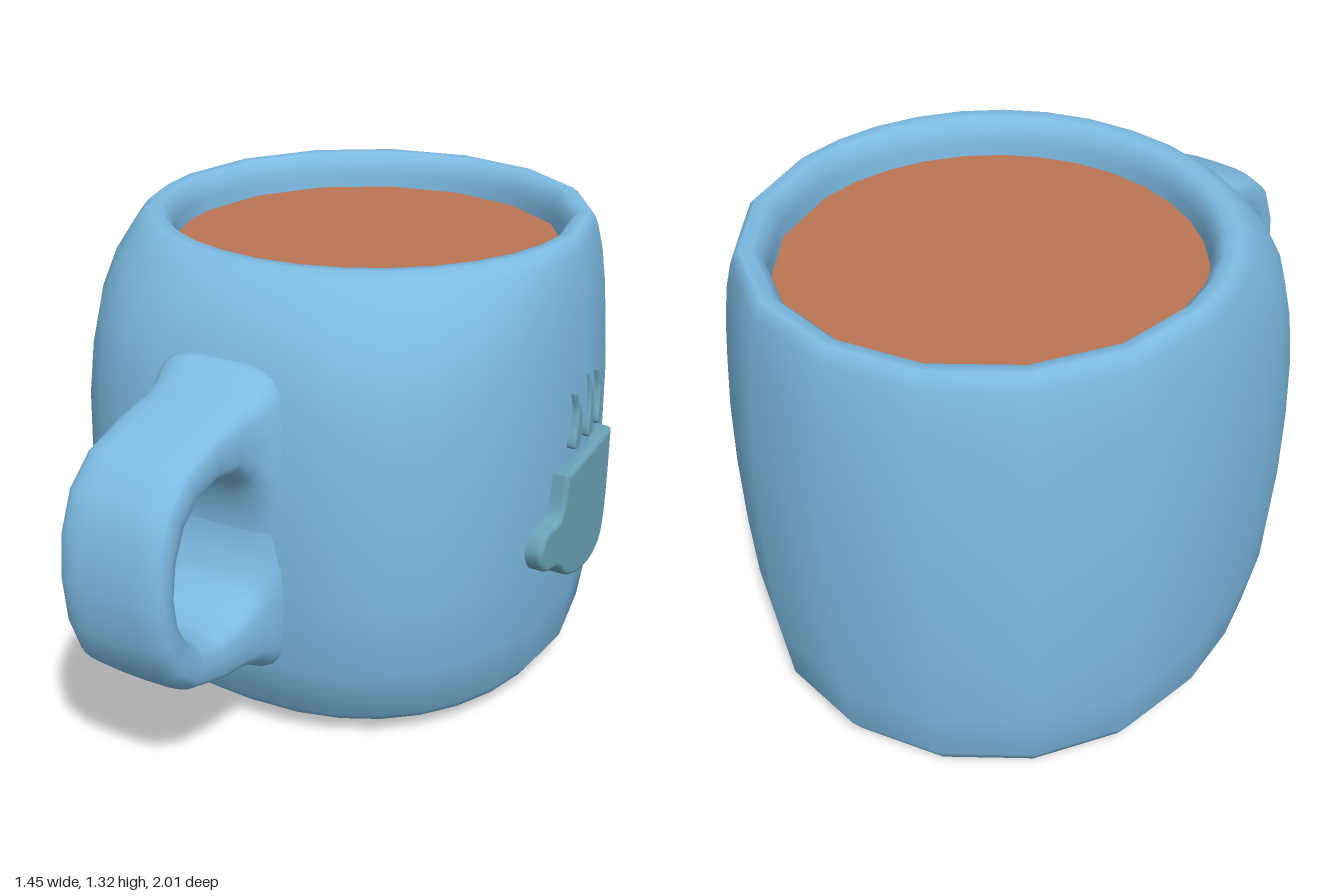
import * as THREE from 'three';

const CX = -0.025, CZ = -0.3;
const glaze = new THREE.MeshStandardMaterial({ color: 0x7dbbe3 });
const badge = new THREE.MeshStandardMaterial({ color: 0x6aa3b8 });
const coffee = new THREE.MeshStandardMaterial({ color: 0xbb7554 });

// Skins a list of closed rings of points
function loft(rings) {
  const n = rings[0].length, index = [];
  for (let i = 0; i < rings.length - 1; i++) {
    for (let j = 0; j < n; j++) {
      const k = (j + 1) % n;
      const a = i * n + j, b = i * n + k, c = a + n, d = b + n;
      index.push(a, c, b, b, c, d);
    }
  }
  const geo = new THREE.BufferGeometry().setFromPoints(rings.flat());
  geo.setIndex(index);
  geo.computeVertexNormals();
  return geo;
}

const spow = (v, e) => Math.sign(v) * Math.abs(v) ** e;

// Mug wall: round at the back, swelling squarely towards the handle at mid height
function bodyGeometry() {
  const outer = [
    [0, 0.002], [0.3, 0.002], [0.54, 0.003], [0.625, 0.03], [0.665, 0.09], [0.688, 0.25], [0.7, 0.45],
    [0.705, 0.66], [0.702, 0.85], [0.692, 1.0], [0.682, 1.12], [0.668, 1.22], [0.652, 1.285],
    [0.642, 1.312], [0.627, 1.325],
  ];
  const inner = [[0.595, 1.323], [0.573, 1.3], [0.562, 1.26], [0.56, 1.18]];
  const angles = [];
  for (let i = 0; i < 16; i++) angles.push((i * Math.PI) / 16);
  for (let i = 0; i < 8; i++) angles.push(Math.PI + (i * Math.PI) / 8);

  const ring = (r, y, swell) => angles.map((a) => {
    const c = Math.cos(a), s = Math.sin(a);
    let x = c * r, z = s * r;
    if (s > 0) {
      x += (spow(c, 0.74) * r - x) * swell;
      z += (spow(s, 0.74) * r * 1.18 - z) * swell;
    }
    return new THREE.Vector3(CX + x, y, CZ + z);
  });
  return loft([
    ...outer.map(([r, y]) => ring(r, y, Math.max(0, 1 - Math.abs((y - 0.63) / 0.7) ** 5))),
    ...inner.map(([r, y]) => ring(r, y, 0)),
  ]);
}

// Handle: rounded strap around a full oval hole, its roots flaring into the wall
function handleGeometry() {
  const y0 = 0.667, sides = 24;
  // inner z, inner y, outer z, outer y, half width
  const upper = [
    [0.91, 0, 1.0, 0, 0.158], [0.895, 0.08, 0.987, 0.13, 0.158], [0.855, 0.15, 0.945, 0.24, 0.158],
    [0.8, 0.193, 0.86, 0.315, 0.158], [0.725, 0.21, 0.72, 0.362, 0.158], [0.645, 0.193, 0.61, 0.382, 0.163],
    [0.59, 0.15, 0.55, 0.405, 0.172], [0.568, 0.115, 0.5, 0.44, 0.187], [0.552, 0.07, 0.44, 0.46, 0.205],
    [0.542, 0.03, 0.36, 0.35, 0.22], [0.54, 0, 0.3, 0, 0.225],
  ];
  const lower = upper.slice(1).reverse().map(([a, b, c, d, w]) => [a, -b, c, -d, w]);
  const rings = [...lower, ...upper].map(([iz, iy, oz, oy, w]) => {
    const pts = [];
    for (let j = 0; j < sides; j++) {
      const p = (j / sides) * Math.PI * 2;
      const t = 0.5 + 0.5 * spow(Math.cos(p), 0.6);
      const x = -w * spow(Math.sin(p), 0.6);
      pts.push(new THREE.Vector3(CX + x, y0 + iy + (oy - iy) * t, iz + (oz - iz) * t));
    }
    return pts;
  });
  return loft(rings);
}

// Raised emblem piece on the +x side, drawn in (-z, y) and bent to follow the wall
function relief(name, shape, face, bevel) {
  const geo = new THREE.ExtrudeGeometry(shape, {
    depth: face - bevel - 0.6, bevelEnabled: true, bevelThickness: bevel,
    bevelSize: bevel, bevelOffset: -bevel, bevelSegments: 4, curveSegments: 24,
  });
  geo.rotateY(Math.PI / 2).translate(0.6, 0, 0);
  const pos = geo.attributes.position;
  for (let i = 0; i < pos.count; i++) {
    const lean = 0.4 * Math.max(0, pos.getY(i) - 0.72) ** 2;
    pos.setX(i, pos.getX(i) - 0.45 * (pos.getZ(i) + 0.2) ** 2 - lean);
  }
  const mesh = new THREE.Mesh(geo, badge);
  mesh.name = name;
  return mesh;
}

const vecs = (list) => list.map(([x, y]) => new THREE.Vector2(x, y));

export function createModel() {
  const group = new THREE.Group();
  group.name = 'mug';
  const add = (name, geo, mat) => {
    const mesh = new THREE.Mesh(geo, mat);
    mesh.name = name;
    group.add(mesh);
    return mesh;
  };

  add('body', bodyGeometry(), glaze);
  add('handle', handleGeometry(), glaze);

  // Drink surface just below the rim
  const drink = new THREE.CircleGeometry(0.565, 32).rotateX(-Math.PI / 2);
  add('drink', drink, coffee).position.set(CX, 1.22, CZ);

  // Small cup emblem
  const cup = new THREE.Shape();
  cup.moveTo(0.09, 0.717);
  cup.lineTo(0.472, 0.717);
  cup.splineThru(vecs([
    [0.472, 0.56], [0.455, 0.45], [0.41, 0.39], [0.33, 0.37], [0.22, 0.372], [0.13, 0.395],
    [0.06, 0.45], [0, 0.462], [-0.03, 0.52], [-0.005, 0.578], [0.05, 0.592], [0.075, 0.63], [0.09, 0.717],
  ]));
  group.add(relief('cupEmblem', cup, 0.724, 0.014));

  // Three wisps of steam
  for (const [u, height] of [[0.2, 0.155], [0.3, 0.18], [0.4, 0.155]]) {
    const wisp = new THREE.Shape();
    wisp.moveTo(u - 0.008, 0.76 + height);
    wisp.splineThru(vecs([
      [0.022, 0.72], [0.033, 0.48], [0.02, 0.2], [0.008, 0.01], [-0.022, 0],
      [-0.028, 0.15], [-0.01, 0.42], [0.0, 0.7], [-0.008, 1],
    ].map(([x, t]) => [u + x, 0.76 + t * height])));
    group.add(relief('steamWisp', wisp, 0.7, 0.008));
  }
  return group;
}
